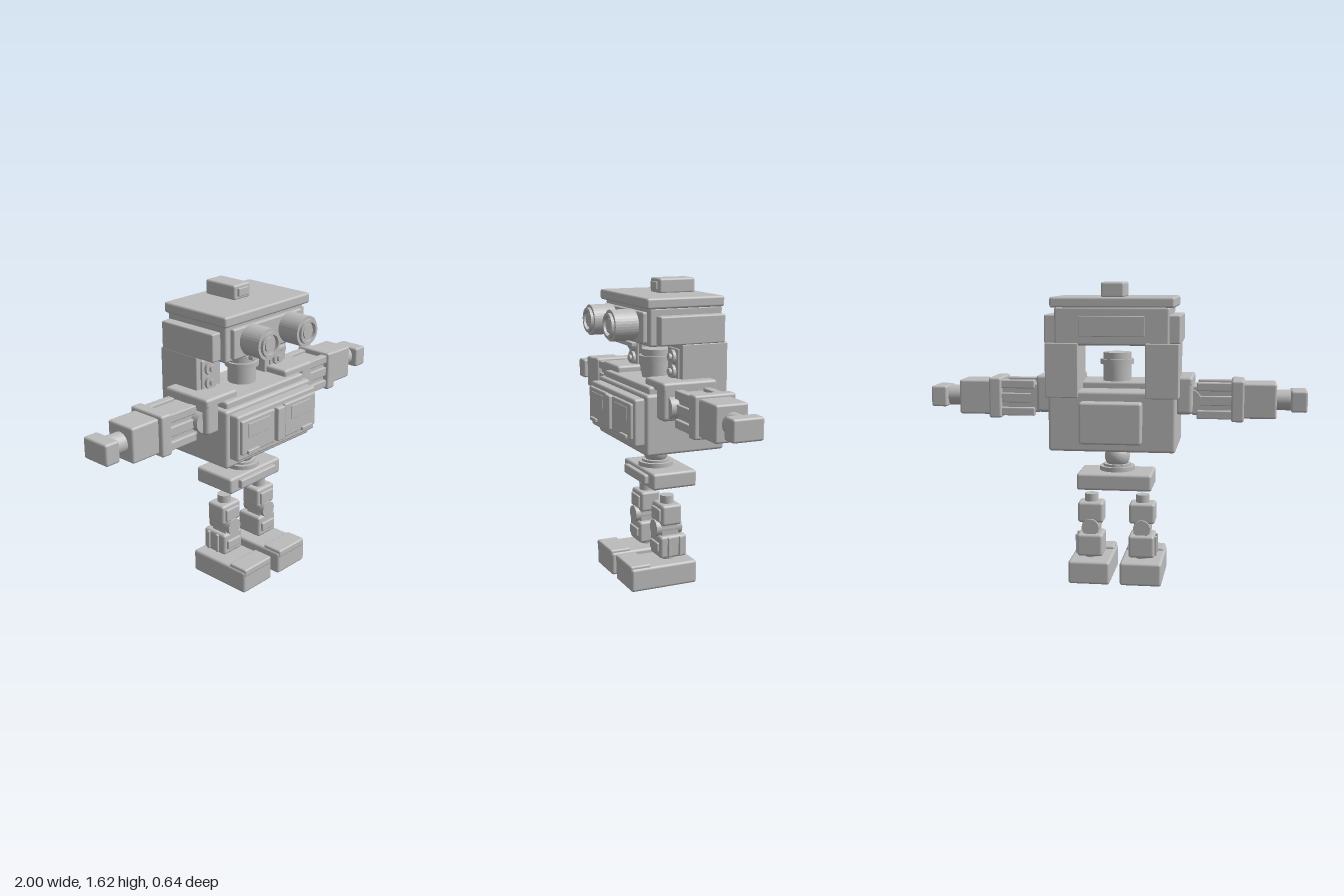
import * as THREE from 'three';
import { RoundedBoxGeometry } from 'three/addons/geometries/RoundedBoxGeometry.js';

const grey = new THREE.MeshStandardMaterial({ color: 0xbcbcbc });
grey.name = 'light grey';

// Bevelled box given by its extents on each axis
function box(parent, name, [x0, x1], [y0, y1], [z0, z1], bevel = 0.012) {
  const w = x1 - x0, h = y1 - y0, d = z1 - z0;
  const r = Math.min(bevel, 0.3 * Math.min(w, h, d));
  const mesh = new THREE.Mesh(new RoundedBoxGeometry(w, h, d, 2, r), grey);
  mesh.position.set((x0 + x1) / 2, (y0 + y1) / 2, (z0 + z1) / 2);
  mesh.name = name;
  parent.add(mesh);
  return mesh;
}

// Cylinder between two coordinates along an axis
function rod(parent, name, axis, r, from, to, [x, y, z]) {
  const mesh = new THREE.Mesh(new THREE.CylinderGeometry(r, r, to - from, 32), grey);
  mesh.position.set(x, y, z);
  mesh.position[axis] = (from + to) / 2;
  if (axis === 'x') mesh.rotation.z = Math.PI / 2;
  if (axis === 'z') mesh.rotation.x = Math.PI / 2;
  mesh.name = name;
  parent.add(mesh);
  return mesh;
}

function group(parent, name) {
  const g = new THREE.Group();
  g.name = name;
  parent.add(g);
  return g;
}

function buildHead(root) {
  const head = group(root, 'head');
  box(head, 'skull', [-0.295, 0.295], [1.3, 1.495], [-0.25, 0.155]);
  box(head, 'roof', [-0.32, 0.32], [1.49, 1.545], [-0.25, 0.18]);
  box(head, 'roofLamp', [-0.06, 0.06], [1.54, 1.62], [-0.21, -0.005]);
  box(head, 'lampLens', [-0.035, 0.035], [1.56, 1.602], [-0.02, 0.006], 0.004);
  box(head, 'facePlate', [-0.26, 0.26], [1.315, 1.472], [0.15, 0.18]);
  box(head, 'mouthStrip', [-0.13, 0.13], [1.283, 1.305], [0.155, 0.185], 0.004);
  box(head, 'backPlate', [-0.17, 0.17], [1.345, 1.45], [-0.258, -0.24], 0.004);
  // Stepped eye barrels with a recessed lens
  const profile = [[0, 0], [0.074, 0], [0.074, 0.012], [0.08, 0.012], [0.08, 0.13], [0.064, 0.13],
    [0.064, 0.145], [0.05, 0.145], [0.05, 0.125], [0.036, 0.125], [0.036, 0.138], [0, 0.138]];
  // Doubled points keep the steps sharp
  const points = profile.flatMap(([r, y]) => [new THREE.Vector2(r, y), new THREE.Vector2(r, y)]);
  for (const s of [-1, 1]) {
    const eye = new THREE.Mesh(new THREE.LatheGeometry(points, 36).toNonIndexed(), grey);
    eye.geometry.deleteAttribute('normal');
    eye.geometry.computeVertexNormals();
    eye.rotation.x = Math.PI / 2;
    eye.position.set(0.145 * s, 1.4, 0.178);
    eye.name = 'eye';
    head.add(eye);
  }
}

function buildBody(root) {
  const body = group(root, 'body');
  box(body, 'torso', [-0.33, 0.33], [0.75, 1.065], [-0.25, 0.19], 0.015);
  box(body, 'torsoTop', [-0.3, 0.3], [1.04, 1.1], [-0.1, 0.165]);
  box(body, 'chestPanel', [-0.305, 0.305], [0.8, 1.045], [0.18, 0.245]);
  box(body, 'centerBar', [-0.03, 0.03], [0.835, 1.02], [0.24, 0.275], 0.008);
  box(body, 'backPack', [-0.16, 0.16], [0.8, 1.015], [-0.322, -0.24]);
  rod(body, 'neck', 'y', 0.075, 1.08, 1.25, [0, 0, -0.01]);
  rod(body, 'neckCollar', 'y', 0.09, 1.188, 1.215, [0, 0, -0.01]);
  // Waist joint and pelvis
  const ball = new THREE.Mesh(new THREE.SphereGeometry(0.068, 32, 20), grey);
  ball.position.set(0, 0.69, -0.01);
  ball.name = 'waistBall';
  body.add(ball);
  rod(body, 'waistRing', 'y', 0.075, 0.62, 0.65, [0, 0, -0.01]);
  rod(body, 'waistFlange', 'y', 0.095, 0.605, 0.638, [0, 0, -0.01]);
  box(body, 'pelvis', [-0.2, 0.2], [0.525, 0.615], [-0.16, 0.095], 0.015);
  box(body, 'pelvisPlate', [-0.14, 0.14], [0.548, 0.598], [0.085, 0.12], 0.008);
}

// Everything on one side, modelled on +x
function buildSide(root, s) {
  const label = s > 0 ? 'left' : 'right';
  const bx = (parent, name, [a, b], y, z, bevel) =>
    box(parent, name, s > 0 ? [a, b] : [-b, -a], y, z, bevel);
  const rd = (parent, name, axis, r, a, b, [x, y, z]) => (s < 0 && axis === 'x')
    ? rod(parent, name, axis, r, -b, -a, [x, y, z])
    : rod(parent, name, axis, r, a, b, [x * s, y, z]);

  // Head pod, support pillar with bolts, chest door
  const trim = group(root, label + 'Trim');
  bx(trim, 'headPod', [0.28, 0.35], [1.31, 1.455], [-0.24, 0.12], 0.008);
  bx(trim, 'pillar', [0.172, 0.345], [1.03, 1.312], [-0.256, 0], 0.006);
  for (const y of [1.165, 1.24]) {
    rd(trim, 'pillarBolt', 'z', 0.038, -0.01, 0.025, [0.26, y, 0]);
    rd(trim, 'boltCap', 'z', 0.018, 0, 0.038, [0.26, y, 0]);
  }
  bx(trim, 'pillarPlate', [0.205, 0.315], [1.12, 1.285], [-0.005, 0.01], 0.004);
  bx(trim, 'chestDoor', [0.04, 0.29], [0.835, 1.02], [0.235, 0.262], 0.008);
  bx(trim, 'doorWindow', [0.085, 0.245], [0.925, 0.998], [0.258, 0.266], 0.003);
  bx(trim, 'doorHandle', [0.17, 0.255], [0.836, 0.856], [0.258, 0.275], 0.004);

  // Arm held straight out to the side
  const arm = group(root, label + 'Arm');
  bx(arm, 'shoulderPlate', [0.32, 0.41], [0.94, 1.135], [-0.165, 0.135], 0.02);
  bx(arm, 'shoulderCap', [0.185, 0.41], [1.085, 1.135], [-0.165, 0.135], 0.015);
  rd(arm, 'shoulderJoint', 'z', 0.057, -0.125, 0.105, [0.395, 1.01, 0]);
  const cy = 1.008, cz = -0.018;
  bx(arm, 'upperArmCore', [0.4, 0.62], [cy - 0.078, cy + 0.078], [cz - 0.08, cz + 0.08]);
  for (const i of [-1, 1]) {
    for (const j of [-1, 1]) {
      bx(arm, 'armRail', [0.43, 0.615], [cy + i * 0.073 - 0.022, cy + i * 0.073 + 0.022],
        [cz + j * 0.078 - 0.022, cz + j * 0.078 + 0.022], 0.006);
    }
    bx(arm, 'armRib', [0.44, 0.615], [cy - 0.025, cy + 0.025],
      [cz + i * 0.085 - 0.012, cz + i * 0.085 + 0.012], 0.005);
  }
  bx(arm, 'elbowBand', [0.608, 0.675], [cy - 0.108, cy + 0.108], [cz - 0.112, cz + 0.112]);
  bx(arm, 'forearm', [0.66, 0.842], [cy - 0.092, cy + 0.092], [cz - 0.087, cz + 0.087]);
  rd(arm, 'wrist', 'x', 0.054, 0.835, 0.92, [0, cy, cz]);
  bx(arm, 'hand', [0.914, 1.0], [cy - 0.056, cy + 0.056], [cz - 0.082, cz + 0.082]);

  // Leg and foot
  const leg = group(root, label + 'Leg');
  const lx = 0.14;
  rd(leg, 'hipPeg', 'y', 0.037, 0.42, 0.48, [lx, 0, -0.012]);
  bx(leg, 'thigh', [0.07, 0.21], [0.325, 0.438], [-0.07, 0.045], 0.015);
  bx(leg, 'thighPlate', [0.09, 0.19], [0.345, 0.415], [0.035, 0.058], 0.006);
  rd(leg, 'knee', 'z', 0.046, -0.083, 0.066, [lx, 0.302, 0]);
  bx(leg, 'kneeBlock', [0.095, 0.185], [0.25, 0.34], [-0.06, 0.04], 0.008);
  bx(leg, 'shin', [0.07, 0.21], [0.145, 0.267], [-0.1, 0.055], 0.015);
  bx(leg, 'shinPlate', [0.09, 0.19], [0.18, 0.23], [0.045, 0.068], 0.006);
  for (const z of [0.005, -0.06]) {
    bx(leg, 'shinRib', [0.2, 0.222], [0.155, 0.26], [z - 0.009, z + 0.009], 0.004);
  }
  rd(leg, 'ankle', 'y', 0.038, 0.11, 0.16, [lx, 0, -0.015]);
  bx(leg, 'foot', [0.027, 0.253], [0, 0.127], [-0.14, 0.24], 0.015);
  bx(leg, 'toeCap', [0.035, 0.245], [0.1, 0.142], [0.125, 0.244], 0.01);
}

export function createModel() {
  const root = new THREE.Group();
  root.name = 'robot';
  buildHead(root);
  buildBody(root);
  for (const s of [1, -1]) buildSide(root, s);
  return root;
}
